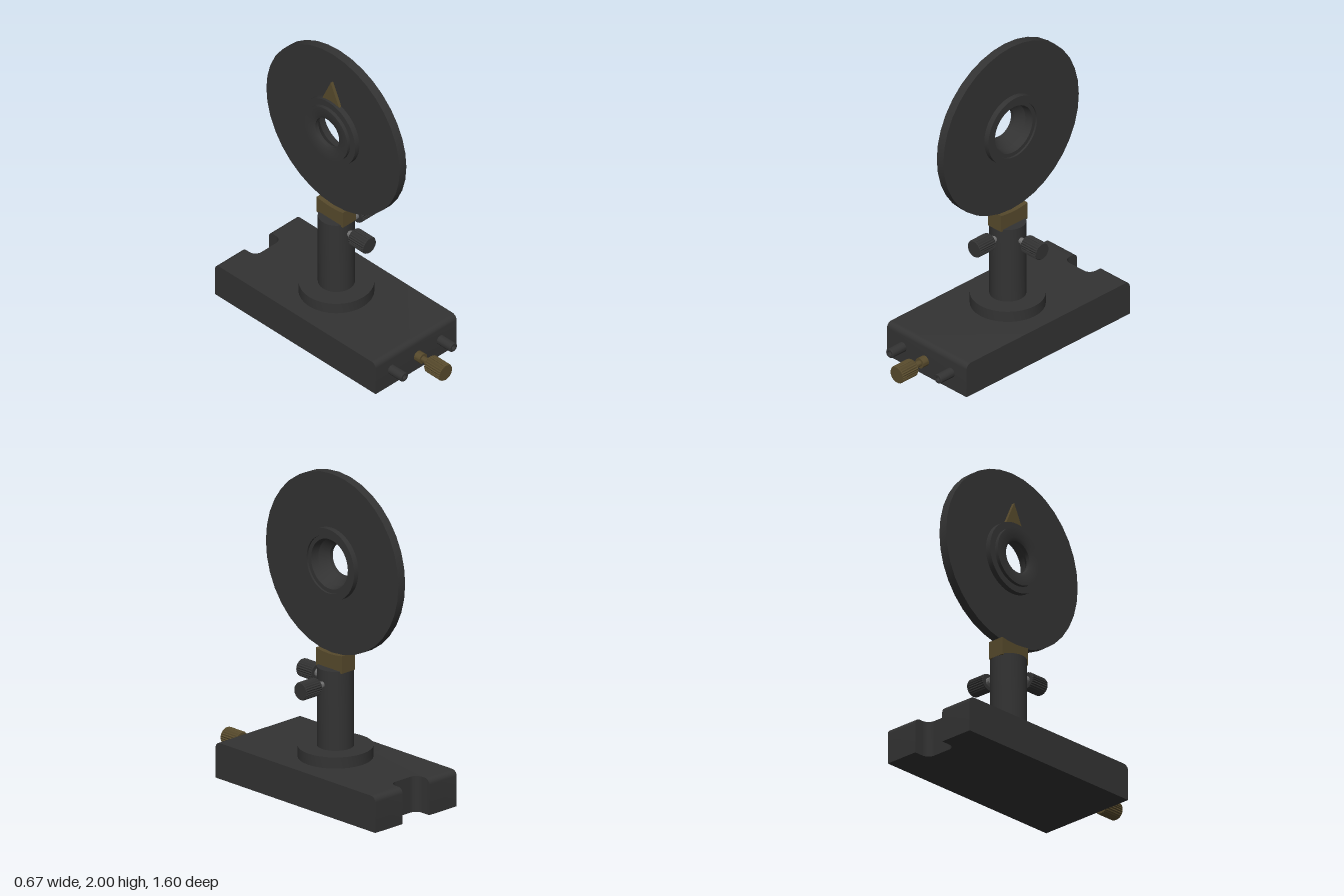
import * as THREE from 'three';
import { toCreasedNormals } from 'three/addons/utils/BufferGeometryUtils.js';

const black = new THREE.MeshStandardMaterial({ color: 0x333333 });
const steel = new THREE.MeshStandardMaterial({ color: 0x707070 });
const brass = new THREE.MeshStandardMaterial({ color: 0x574a2c });
const CZ = -0.12; // z of the post axis
const DISC_Y = 1.44; // height of the disc centre
const DISC_R = 0.56;

function add(parent, name, geometry, material, x = 0, y = 0, z = 0) {
  const mesh = new THREE.Mesh(geometry, material);
  mesh.name = name;
  mesh.position.set(x, y, z);
  parent.add(mesh);
  return mesh;
}

// Turned part: [radius, height] pairs, outer side going up
function turned(points, segments = 48) {
  const profile = points.map(([r, y]) => new THREE.Vector2(r, y));
  return toCreasedNormals(new THREE.LatheGeometry(profile, segments), 0.5);
}

// Solid stepped rod from [radius, y0, y1] sections
function rod(sections) {
  const pts = [[0, sections[0][1]]];
  for (const [r, y0, y1] of sections) pts.push([r, y0], [r, y1]);
  pts.push([0, sections[sections.length - 1][2]]);
  return turned(pts, 32);
}

// Knurled grip: every second column of vertices is pulled inwards
function knurledGrip() {
  const profile = [[0, 0], [0.051, 0], [0.056, 0.006], [0.056, 0.124], [0.051, 0.13], [0, 0.13]]
    .map(([r, y]) => new THREE.Vector2(r, y));
  const segments = 48;
  const geo = new THREE.LatheGeometry(profile, segments);
  const pos = geo.attributes.position;
  for (let i = 0; i < pos.count; i++) {
    const column = Math.floor(i / profile.length);
    const k = column % 2 && Math.hypot(pos.getX(i), pos.getZ(i)) > 0.053 ? 0.92 : 1;
    pos.setXYZ(i, pos.getX(i) * k, pos.getY(i), pos.getZ(i) * k);
  }
  return toCreasedNormals(geo, 0.3);
}

// Thumb screw pointing along +y, with the grip starting at y = 0
function thumbScrew(name, gripMaterial, shankMaterial) {
  const screw = new THREE.Group();
  screw.name = name;
  add(screw, 'shank', rod([[0.033, -0.105, -0.06], [0.019, -0.06, -0.025], [0.027, -0.025, 0]]), shankMaterial);
  add(screw, 'grip', knurledGrip(), gripMaterial);
  return screw;
}

// Base plate: plan outline with a rear notch, top edges rounded front and back
function baseGeometry() {
  const w = 0.335, back = 0.8, front = -0.55, n = 0.11, r = 0.05, floor = 0.69;
  const s = new THREE.Shape();
  s.moveTo(-w, front);
  s.lineTo(w, front);
  s.lineTo(w, back);
  s.lineTo(n, back);
  s.lineTo(n, floor + r);
  s.absarc(n - r, floor + r, r, 0, -Math.PI / 2, true);
  s.lineTo(-n + r, floor);
  s.absarc(-n + r, floor + r, r, -Math.PI / 2, -Math.PI, true);
  s.lineTo(-n, back);
  s.lineTo(-w, back);
  s.closePath();
  const steps = 7, h = 0.225, round = 0.035;
  const geo = new THREE.ExtrudeGeometry(s, { depth: steps, steps, bevelEnabled: false, curveSegments: 8 });
  geo.rotateX(-Math.PI / 2);
  const pos = geo.attributes.position;
  for (let i = 0; i < pos.count; i++) {
    const layer = Math.round(pos.getY(i));
    const a = Math.max(0, layer - 1) / (steps - 1) * Math.PI / 2;
    const inset = round * (1 - Math.cos(a));
    pos.setY(i, layer === 0 ? 0 : h - round + round * Math.sin(a));
    pos.setZ(i, THREE.MathUtils.clamp(pos.getZ(i), -back + inset, -front - inset));
  }
  return toCreasedNormals(geo, 0.6);
}

// Saddle block whose top follows the rim of the disc
function saddleGeometry() {
  const half = 0.11, bottom = 0.78;
  const a = Math.asin(half / DISC_R);
  const s = new THREE.Shape();
  s.moveTo(-half, bottom);
  s.lineTo(half, bottom);
  s.absarc(0, DISC_Y, DISC_R, -Math.PI / 2 + a, -Math.PI / 2 - a, true);
  s.closePath();
  const geo = new THREE.ExtrudeGeometry(s, { depth: 0.11, bevelEnabled: false });
  return geo.translate(0, 0, -0.055).rotateY(Math.PI / 2);
}

// Index pointer on the disc face
function pointerGeometry() {
  const s = new THREE.Shape();
  s.moveTo(-0.075, 0.2);
  s.lineTo(0.075, 0.2);
  s.lineTo(0, 0.36);
  s.closePath();
  const geo = new THREE.ExtrudeGeometry(s, { depth: 0.02, bevelEnabled: false });
  return geo.rotateY(-Math.PI / 2);
}

export function createModel() {
  const model = new THREE.Group();
  model.name = 'discMount';

  // Base, flange and post
  add(model, 'basePlate', baseGeometry(), black);
  add(model, 'flange', rod([[0.225, 0.22, 0.295]]), black, 0, 0, CZ);
  add(model, 'post', rod([[0.11, 0.29, 0.79]]), black, 0, 0, CZ);
  add(model, 'saddleBlock', saddleGeometry(), brass, 0, 0, CZ);

  // Disc and hub, turned around the x axis
  const wheel = new THREE.Group();
  wheel.name = 'discAssembly';
  wheel.position.set(0, DISC_Y, CZ);
  model.add(wheel);
  const disc = add(wheel, 'disc', turned([
    [0.2, -0.028], [DISC_R, -0.028], [DISC_R, 0.028], [0.2, 0.028],
  ], 36), black);
  const hub = add(wheel, 'hub', turned([
    [0.1, -0.075], [0.12, -0.085], [0.18, -0.085], [0.18, -0.063], [0.222, -0.063],
    [0.222, 0.063], [0.18, 0.063], [0.18, 0.05], [0.155, 0.05], [0.145, 0.0],
    [0.1, -0.05], [0.1, -0.075],
  ]), black);
  disc.rotation.z = hub.rotation.z = -Math.PI / 2;
  add(wheel, 'pointer', pointerGeometry(), brass, -0.027, 0, 0);

  // Thumb screws on the post and at the front of the base
  const sideScrew = thumbScrew('sideThumbScrew', black, steel);
  sideScrew.position.set(0.16, 0.7, CZ);
  sideScrew.rotation.z = -Math.PI / 2;
  const frontScrew = thumbScrew('frontThumbScrew', black, steel);
  frontScrew.position.set(0, 0.71, 0.03);
  frontScrew.rotation.x = Math.PI / 2;
  const baseScrew = thumbScrew('baseThumbScrew', brass, brass);
  baseScrew.position.set(0, 0.115, 0.67);
  baseScrew.rotation.x = Math.PI / 2;
  model.add(sideScrew, frontScrew, baseScrew);

  // Socket-headed pins either side of the base screw
  for (const side of [-1, 1]) {
    const pin = add(model, side > 0 ? 'leftPin' : 'rightPin', turned([
      [0, 0], [0.031, 0], [0.031, 0.115], [0.027, 0.12], [0.016, 0.12], [0.016, 0.08], [0, 0.08],
    ], 24), black, side * 0.203, 0.115, 0.54);
    pin.rotation.x = Math.PI / 2;
  }
  return model;
}
